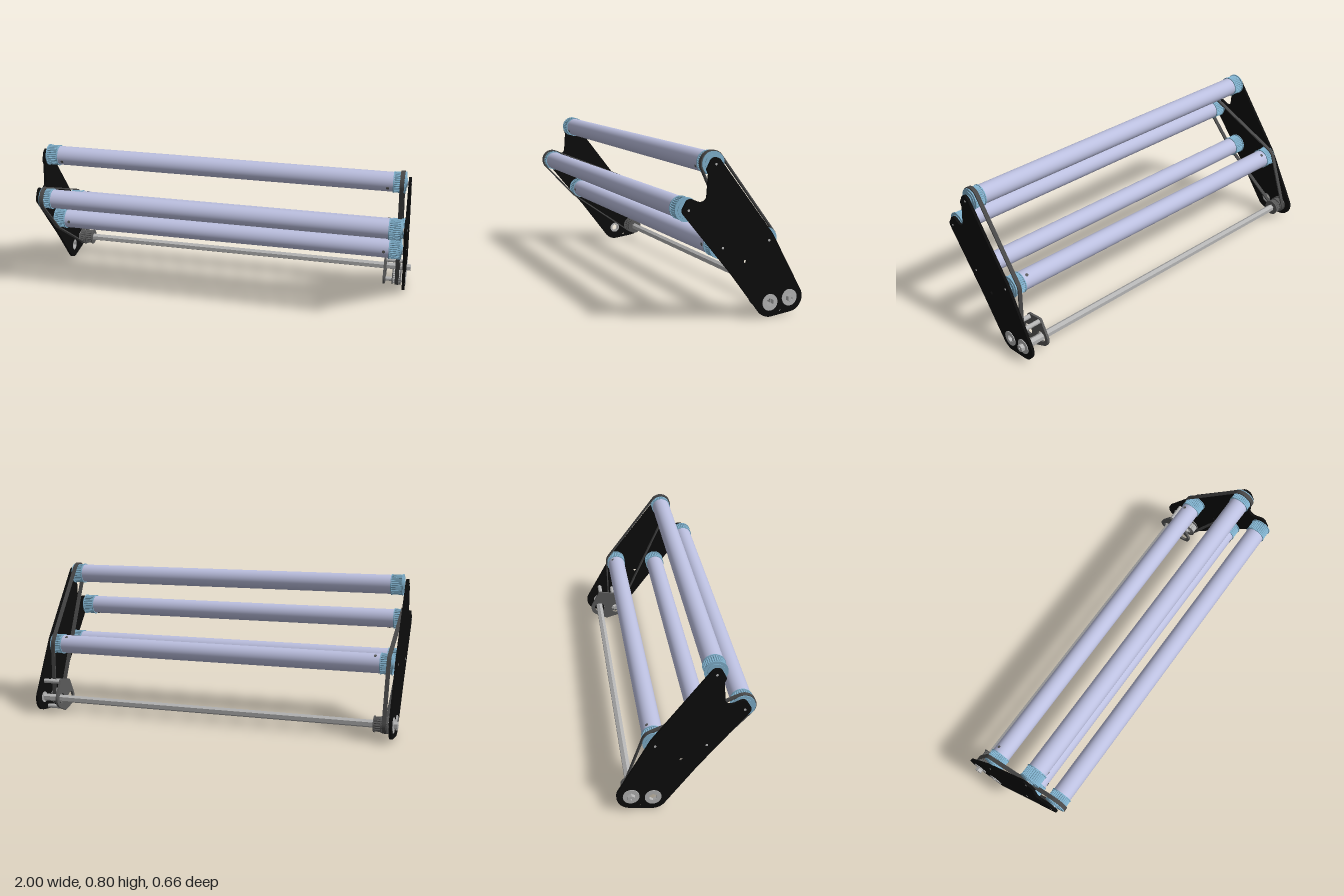
import * as THREE from 'three';

const mat = (color) => new THREE.MeshStandardMaterial({ color });
const BLACK = mat(0x0c0c0c), BELT = mat(0x484848), METAL = mat(0xb4b4b4);
const BLUE = mat(0x7fb0cc), TUBE = mat(0xbcc0e0), DARK = mat(0x5a5a5a);

// Side-profile coordinates: u = -z, v = y
const ROLLERS = [
  { u: -0.135, v: 0.74, screw: -0.4 },
  { u: -0.27, v: 0.54, screw: -1.9 },
  { u: -0.097, v: 0.355, screw: 0 },
  { u: 0.145, v: 0.37, screw: 2.1 },
];
const SHAFT = { u: 0.26, v: 0.085 }, DRIVE = { u: 0.155, v: 0.072 };
const STANDOFFS = [{ u: 0.173, v: 0.162 }, { u: 0.25, v: 0.175 }, { u: 0.215, v: 0.025 }];
const rad = THREE.MathUtils.degToRad;

function add(parent, name, geometry, material) {
  const mesh = new THREE.Mesh(geometry, material);
  mesh.name = name;
  parent.add(mesh);
  return mesh;
}

// Extrude a side profile along x from x0 to x1
function extrudeX(shape, x0, x1) {
  const g = new THREE.ExtrudeGeometry(shape, { depth: x1 - x0, bevelEnabled: false, curveSegments: 20 });
  return g.rotateY(Math.PI / 2).translate(x0, 0, 0);
}

// Cylinder lying along x
function rod(p, r, x0, x1, sides = 32) {
  const g = new THREE.CylinderGeometry(r, r, x1 - x0, sides);
  return g.rotateZ(Math.PI / 2).translate((x0 + x1) / 2, p.v, -p.u);
}

function circlePoints(p, r, n, turn = 0) {
  return Array.from({ length: n }, (_, i) => {
    const a = turn + (i / n) * Math.PI * 2;
    return new THREE.Vector2(p.u + r * Math.cos(a), p.v + r * Math.sin(a));
  });
}
const hole = (p, r, n = 24) => new THREE.Path(circlePoints(p, r, n, Math.PI / 2));

// Convex outline wrapped around circles
function wrap(circles) {
  const pts = circles.flatMap(([p, r]) => circlePoints(p, r, 48));
  pts.sort((a, b) => a.x - b.x || a.y - b.y);
  const chain = (list) => {
    const h = [];
    for (const p of list) {
      while (h.length > 1) {
        const a = h[h.length - 2], b = h[h.length - 1];
        if ((b.x - a.x) * (p.y - a.y) - (b.y - a.y) * (p.x - a.x) > 0) break;
        h.pop();
      }
      h.push(p);
    }
    return h.slice(0, -1);
  };
  return [...chain(pts), ...chain([...pts].reverse())];
}

// Toothed pulley profile
function toothed(p, r, teeth, depth) {
  const pts = [];
  for (let i = 0; i < teeth * 4; i++) {
    const a = (i / (teeth * 4)) * Math.PI * 2, q = i % 4 < 2 ? r : r - depth;
    pts.push(new THREE.Vector2(p.u + q * Math.cos(a), p.v + q * Math.sin(a)));
  }
  return new THREE.Shape(pts);
}

function sidePlateShape() {
  const s = new THREE.Shape(), [a, b] = ROLLERS;
  s.absarc(a.u, a.v, 0.03, rad(160), rad(38), true);
  s.lineTo(0.165, 0.4);
  s.lineTo(0.26, 0.228);
  s.absarc(SHAFT.u, SHAFT.v, 0.07, rad(28), rad(-83), true);
  s.absarc(DRIVE.u, DRIVE.v, 0.07, rad(-83), rad(-142), true);
  s.lineTo(-0.056, 0.234);
  s.absarc(b.u, b.v, 0.03, rad(-142), rad(-190), true);
  s.lineTo(-0.277, 0.583);
  s.quadraticCurveTo(-0.262, 0.595, -0.24, 0.584);
  s.lineTo(-0.225, 0.577);
  s.bezierCurveTo(-0.2, 0.567, -0.178, 0.575, -0.177, 0.6);
  s.lineTo(-0.17, 0.695);
  s.lineTo(-0.18, 0.717);
  s.holes.push(hole({ u: 0.022, v: 0.28 }, 0.009), hole(STANDOFFS[2], 0.007),
    hole(SHAFT, 0.03), hole(DRIVE, 0.03));
  return s;
}

function addBelt(parent, name, circles, x0, x1) {
  const s = new THREE.Shape(wrap(circles));
  s.holes.push(new THREE.Path(wrap(circles.map(([p, r]) => [p, r - 0.007]))));
  add(parent, name, extrudeX(s, x0, x1), BELT);
}

export function createModel() {
  const model = new THREE.Group();
  model.name = 'rollerIntake';

  // Side plates with flanged hex bearings
  for (const side of [-1, 1]) {
    const tag = side > 0 ? 'left' : 'right';
    const x = side * 0.97;
    add(model, tag + 'SidePlate', extrudeX(sidePlateShape(), x - 0.007, x + 0.007), BLACK);
    for (const p of [SHAFT, DRIVE]) {
      const ring = new THREE.Shape(circlePoints(p, 0.04, 40));
      ring.holes.push(hole(p, 0.02, 6));
      const out = x + side * 0.0085;
      add(model, tag + 'Bearing', extrudeX(ring, out - 0.002, out + 0.002), METAL);
      const race = new THREE.Shape(circlePoints(p, 0.0295, 32));
      race.holes.push(hole(p, 0.02, 6));
      add(model, tag + 'BearingRace', extrudeX(race, x - 0.01, x + 0.007), METAL);
    }
  }

  // Rollers: tube, toothed end hubs, flanges, axle bolts, set screws
  ROLLERS.forEach((p, i) => {
    const roller = new THREE.Group();
    roller.name = 'roller' + (i + 1);
    model.add(roller);
    add(roller, 'tube', rod(p, 0.05, -0.895, 0.895, 48), TUBE);
    for (const s of [-1, 1]) {
      const span = (a, b) => (s > 0 ? [a, b] : [-b, -a]);
      add(roller, 'hub', extrudeX(toothed(p, 0.053, 30, 0.004), ...span(0.893, 0.948)), BLUE);
      add(roller, 'innerFlange', rod(p, 0.055, ...span(0.888, 0.893), 48), BLUE);
      add(roller, 'outerFlange', rod(p, 0.056, ...span(0.946, 0.951), 48), BLUE);
      add(roller, 'hubStep', rod(p, 0.042, ...span(0.951, 0.954), 40), BLUE);
      add(roller, 'hubBoss', rod(p, 0.024, ...span(0.954, 0.958)), BLUE);
      add(roller, 'axleSpacer', rod(p, 0.012, ...span(0.957, 0.964)), METAL);
      add(roller, 'axleBolt', rod(p, 0.006, ...span(0.95, 0.9785), 16), METAL);
      const screw = new THREE.CylinderGeometry(0.008, 0.008, 0.003, 16).rotateX(Math.PI / 2);
      screw.translate(s * 0.863, 0, 0.05).rotateX(-p.screw).translate(0, p.v, -p.u);
      add(roller, 'setScrew', screw, DARK);
    }
  });

  // Hex drive shaft with small end bores
  const hex = new THREE.Shape(circlePoints(SHAFT, 0.02, 6, Math.PI / 2));
  hex.holes.push(hole(SHAFT, 0.005, 16));
  add(model, 'driveShaft', extrudeX(hex, -1, 1), METAL);

  // Shaft pulley and its flanges
  add(model, 'shaftPulley', extrudeX(toothed(SHAFT, 0.038, 18, 0.004), -0.95, -0.885), DARK);
  for (const x of [-0.954, -0.922, -0.885]) {
    add(model, 'shaftPulleyFlange', rod(SHAFT, x === -0.954 ? 0.045 : 0.042, x, x + 0.005), DARK);
  }

  // Open-bore drive pulley
  const drive = toothed(DRIVE, 0.038, 18, 0.004);
  drive.holes.push(hole(DRIVE, 0.02, 6));
  add(model, 'drivePulley', extrudeX(drive, 0.905, 0.955), METAL);
  for (const x of [0.905, 0.948]) {
    const flange = new THREE.Shape(circlePoints(DRIVE, 0.044, 36));
    flange.holes.push(hole(DRIVE, 0.02, 6));
    add(model, 'drivePulleyFlange', extrudeX(flange, x, x + 0.005), DARK);
  }

  // Gearbox inner plate on standoffs
  const box = new THREE.Shape(wrap([...STANDOFFS.map((p) => [p, 0.017]), [DRIVE, 0.045], [SHAFT, 0.052]]));
  box.holes.push(hole(SHAFT, 0.03), hole(DRIVE, 0.03));
  add(model, 'gearboxPlate', extrudeX(box, 0.855, 0.867), DARK);
  STANDOFFS.forEach((p) => {
    const post = new THREE.Shape(circlePoints(p, 0.012, 20));
    post.holes.push(hole(p, 0.007, 16));
    add(model, 'standoff', extrudeX(post, 0.867, 0.964), METAL);
  });

  // Belts
  const [top, front, lower, back] = ROLLERS;
  addBelt(model, 'leftBelt', [[top, 0.06], [back, 0.06], [DRIVE, 0.045]], 0.922, 0.943);
  addBelt(model, 'rightBelt', [[front, 0.06], [lower, 0.06], [SHAFT, 0.045], [back, 0.06]], -0.946, -0.925);

  return model;
}
